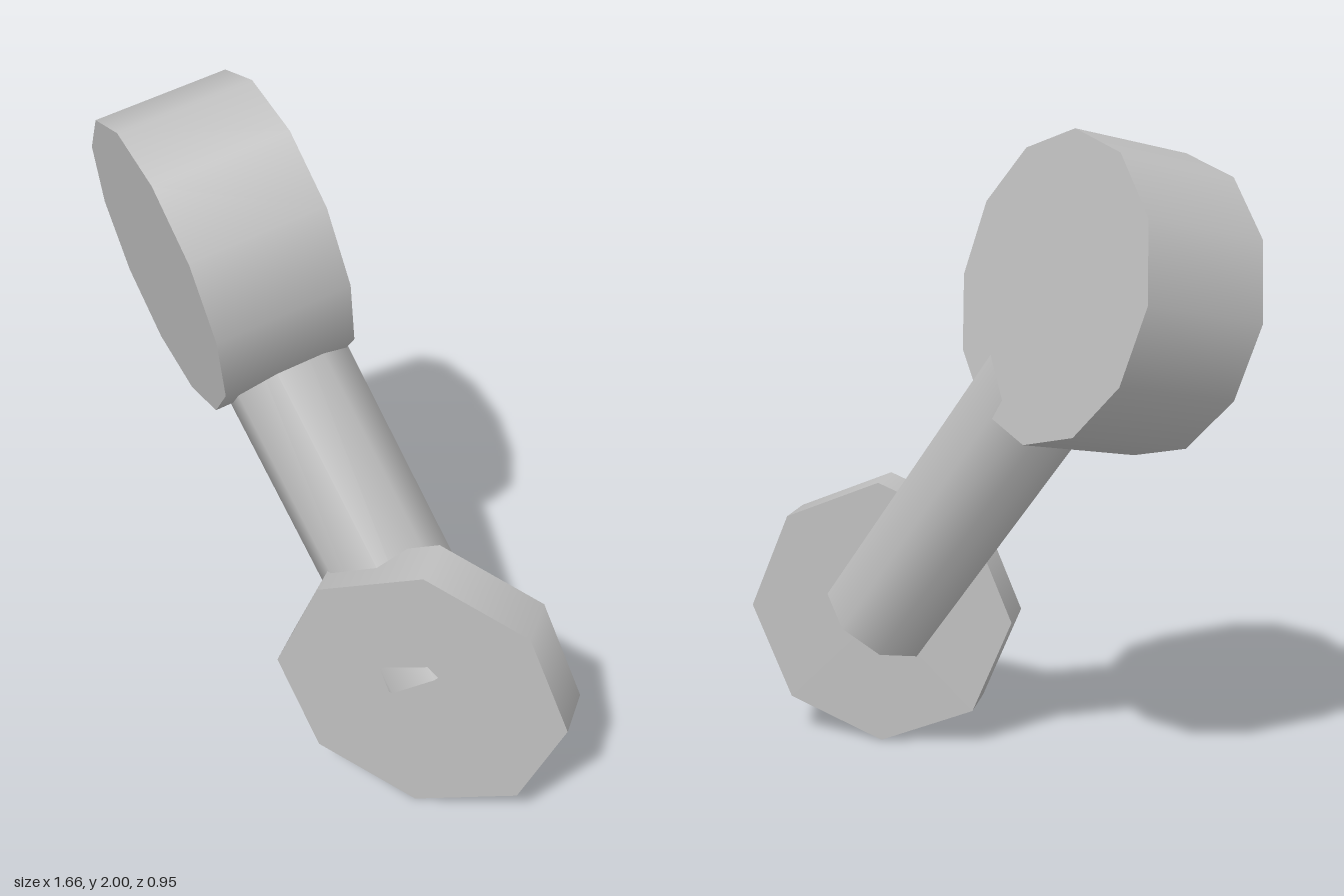
import * as THREE from 'three';

// Faceted cylinder between two points, kept level: one corner always points straight up
function cylinderBetween(name, from, to, radius, sides, material) {
  const axis = new THREE.Vector3().subVectors(to, from);
  const length = axis.length();
  axis.normalize();
  const across = new THREE.Vector3(0, 1, 0).cross(axis).normalize();
  const up = new THREE.Vector3().crossVectors(across, axis);

  const mesh = new THREE.Mesh(new THREE.CylinderGeometry(radius, radius, length, sides), material);
  mesh.name = name;
  mesh.quaternion.setFromRotationMatrix(new THREE.Matrix4().makeBasis(across, axis, up));
  mesh.position.addVectors(from, to).multiplyScalar(0.5);
  return mesh;
}

export function createModel() {
  const model = new THREE.Group();
  model.name = 'tiltedHeadOnStem';

  const grey = new THREE.MeshStandardMaterial({ color: 0xbfbfbf });
  grey.name = 'plain grey';

  const headBack = new THREE.Vector3(-0.245, 1.57, -0.16);
  const headFront = new THREE.Vector3(-0.52, 1.495, 0.12);
  const headCentre = new THREE.Vector3().lerpVectors(headBack, headFront, 0.5);
  const baseBack = new THREE.Vector3(0.39, 0.44, 0.305);
  const baseFront = new THREE.Vector3(0.39, 0.44, 0.46);

  // Thick twelve-sided head
  model.add(cylinderBetween('head', headBack, headFront, 0.44, 12, grey));
  // Eight-sided stem from the middle of the head to the back of the base
  model.add(cylinderBetween('stem', headCentre, baseBack, 0.19, 8, grey));
  // Thin eight-sided base disc
  model.add(cylinderBetween('baseDisc', baseBack, baseFront, 0.438, 8, grey));

  return model;
}
